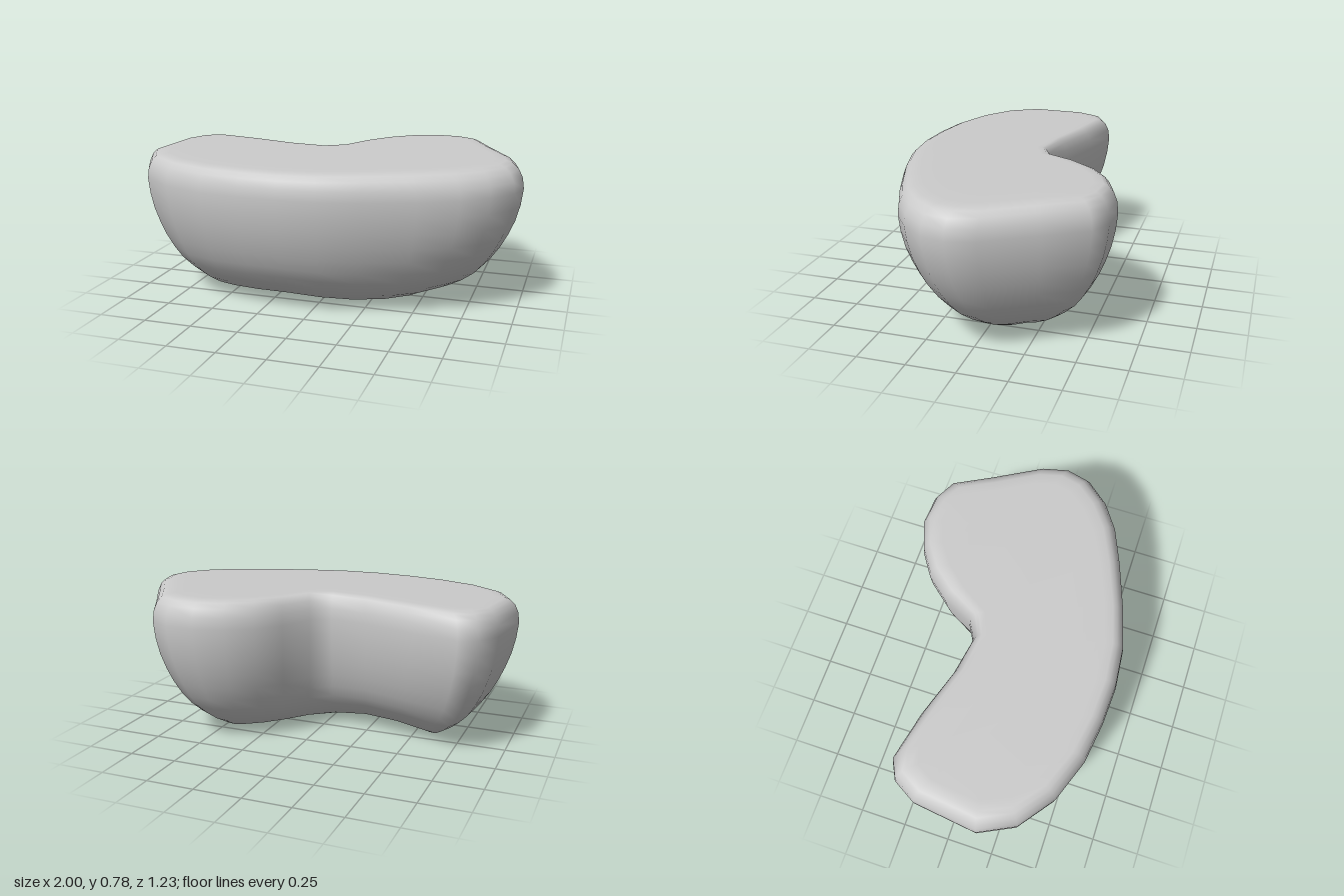
import * as THREE from 'three';
import { mergeVertices } from 'three/addons/utils/BufferGeometryUtils.js';

// Widest outline (x, z): west tip, along the back, east tip, home along the front
const OUTLINE = [
  [-1, 0.18], [-0.96, -0.15], [-0.89, -0.27], [-0.8, -0.315], [-0.55, -0.26], [-0.3, -0.18], [-0.1, -0.145],
  [0, -0.2], [0.08, -0.36], [0.18, -0.48], [0.3, -0.56], [0.45, -0.615], [0.6, -0.605], [0.71, -0.55],
  [0.82, -0.35], [0.965, -0.1], [1, 0.04], [0.97, 0.16], [0.87, 0.28], [0.74, 0.37], [0.55, 0.45],
  [0.3, 0.54], [0.1, 0.595], [-0.1, 0.615], [-0.3, 0.605], [-0.51, 0.575], [-0.73, 0.495], [-0.91, 0.36],
];
const COUNT = OUTLINE.length;

// Keel line along the underside (x, y, z)
const KEEL = [
  [-0.55, 0.012, 0.1], [-0.38, 0.028, 0.17], [-0.18, 0.035, 0.19], [0.03, 0.018, 0.16],
  [0.2, 0.002, 0.08], [0.31, 0, -0.02], [0.41, 0.01, -0.14],
];

// Wall profile: spread from the keel (0..1) and height, underside to flat top
const PROFILE = [
  [0, 0], [0.1, 0.005], [0.22, 0.023], [0.38, 0.07], [0.5, 0.115], [0.62, 0.17], [0.72, 0.235], [0.81, 0.31],
  [0.88, 0.385], [0.94, 0.465], [0.98, 0.55], [1, 0.635], [0.985, 0.69], [0.945, 0.732], [0.89, 0.757],
  [0.83, 0.767], [0.72, 0.769], [0.4, 0.769], [0, 0.769],
];
const TOP = 0.769;

function createBodyGeometry() {
  const keel = new THREE.CatmullRomCurve3(KEEL.map((p) => new THREE.Vector3(...p)));
  const positions = [];
  const indices = [];

  PROFILE.forEach(([spread, height], ring) => {
    OUTLINE.forEach(([rimX, rimZ], j) => {
      // front and back points share the same keel points, closing the form
      const along = Math.min(j, COUNT - j);
      const base = keel.getPoint(THREE.MathUtils.clamp((along - 2.5) / 7.5, 0, 1));
      // the long sides bulge more than the two tips
      const reach = spread ** (1 - 0.15 * Math.sin((along / COUNT) * 2 * Math.PI));
      const x = THREE.MathUtils.lerp(base.x, rimX, reach);
      const z = THREE.MathUtils.lerp(base.z, rimZ, reach);
      const v = height / TOP;
      const y = base.y * (1 - v) + height + (0.005 * x - 0.022 * z) * v ** 3;
      positions.push(x, y, z);
      if (ring < PROFILE.length - 1) {
        const a = ring * COUNT + j;
        const b = ring * COUNT + ((j + 1) % COUNT);
        indices.push(a, a + COUNT, b + COUNT, a, b + COUNT, b);
      }
    });
  });

  let geometry = new THREE.BufferGeometry();
  geometry.setAttribute('position', new THREE.Float32BufferAttribute(positions, 3));
  geometry.setIndex(indices);
  geometry = mergeVertices(geometry, 1e-4);
  geometry.computeVertexNormals();
  return geometry;
}

export function createModel() {
  const group = new THREE.Group();
  group.name = 'kidneyShapedStone';

  // Rounded, flat-topped body
  const body = new THREE.Mesh(createBodyGeometry(), new THREE.MeshStandardMaterial({ color: 0xcccccc }));
  body.name = 'body';
  group.add(body);
  return group;
}
